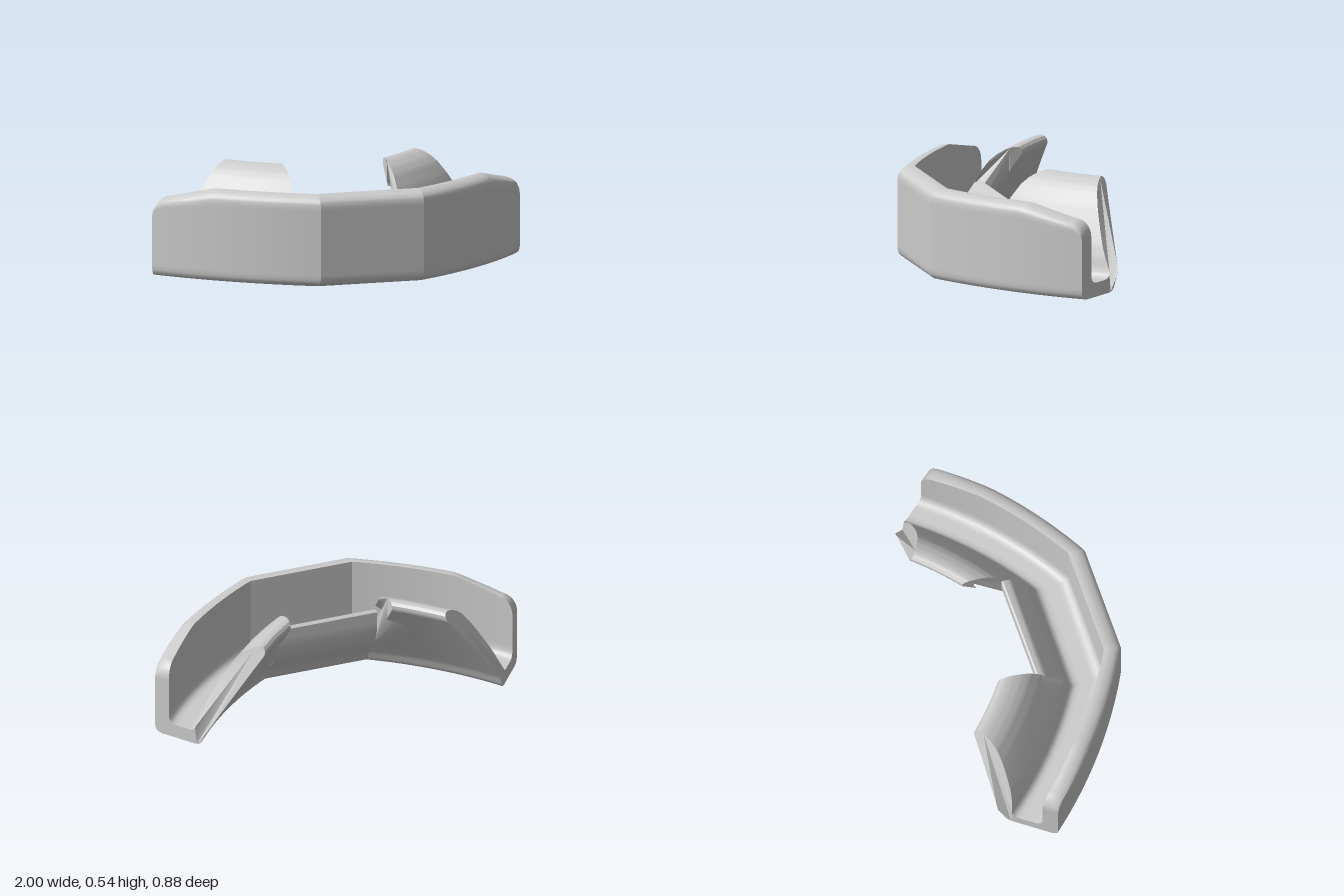
import * as THREE from 'three';
import { toCreasedNormals } from 'three/addons/utils/BufferGeometryUtils.js';

// The side channels sweep about a vertical axis at (CX, CZ); R is the outer wall radius.
const CX = -0.862, CZ = -1.674, R = 2.4, JOINT = 0.28;
const PHI = Math.atan2(18, 24);

// Section points are [distance in from the outer wall, height].
const base = [
  [0, 0.04], [0.005, 0.02], [0.018, 0.006], [0.04, 0], [0.235, 0], [0.258, 0.005],
  [0.274, 0.02], [0.284, 0.045], [0.295, 0.072], [0.312, 0.1],
];
const earTip = [
  [0.562, 0.5], [0.562, 0.522], [0.55, 0.536], [0.53, 0.54], [0.495, 0.53], [0.455, 0.507],
  [0.42, 0.475], [0.375, 0.41], [0.342, 0.35], [0.316, 0.3], [0.284, 0.235], [0.262, 0.175],
];
const midTip = [
  [0.34, 0.142], [0.364, 0.184], [0.38, 0.225], [0.388, 0.265], [0.39, 0.3], [0.39, 0.37],
  [0.382, 0.377], [0.355, 0.365], [0.316, 0.3], [0.284, 0.235], [0.262, 0.175],
];
const channelAndWall = [
  [0.247, 0.12], [0.236, 0.092], [0.22, 0.078], [0.2, 0.074], [0.12, 0.074], [0.1, 0.08],
  [0.086, 0.096], [0.081, 0.12], [0.081, 0.475], [0.066, 0.475], [0.045, 0.471],
  [0.02, 0.459], [0.005, 0.443], [0, 0.42],
];

// Split long section edges so bends and cut-outs stay smooth.
function subdivide(points, step = 0.02) {
  const out = [];
  points.forEach((p, i) => {
    const q = points[(i + 1) % points.length];
    const n = Math.max(1, Math.ceil(Math.hypot(q[0] - p[0], q[1] - p[1]) / step));
    for (let k = 0; k < n; k++) {
      out.push([p[0] + (q[0] - p[0]) * k / n, p[1] + (q[1] - p[1]) * k / n]);
    }
  });
  return out;
}

// Closed skin through rows of section points (ordered towards +x), capped at both ends.
function loft(name, section, rows) {
  const n = section.length, index = [];
  for (let r = 0; r < rows.length - 1; r++) {
    for (let i = 0; i < n; i++) {
      const a = r * n + i, b = r * n + (i + 1) % n;
      index.push(a, b, b + n, a, b + n, a + n);
    }
  }
  const last = (rows.length - 1) * n;
  const caps = THREE.ShapeUtils.triangulateShape(section.map(p => new THREE.Vector2(...p)), []);
  for (const [a, b, c] of caps) index.push(c, b, a, last + a, last + b, last + c);
  const geometry = new THREE.BufferGeometry();
  geometry.setAttribute('position', new THREE.Float32BufferAttribute(rows.flat(2), 3));
  geometry.setIndex(index);
  const mesh = new THREE.Mesh(
    toCreasedNormals(geometry, 0.6),
    new THREE.MeshStandardMaterial({ color: 0xcccccc }),
  );
  mesh.name = name;
  return mesh;
}

// Height of the outer wall along its sweep: level, sloping, then a rounded corner.
function wallTop(u) {
  if (u < 0.62) return 0.475;
  if (u < 0.91) return 0.475 - 0.06 * (u - 0.62) / 0.29;
  return 0.325 + 0.09 * Math.sqrt(Math.max(0, 1 - ((u - 0.91) / 0.09) ** 2));
}

// One point of the curved side, with u running from the centre joint to the slanted end.
function sidePoint([d, y], u) {
  const r = R - d, isEar = d > 0.24;
  const depth = Math.max(0, 0.25 + 0.625 * y - d); // distance in from the ear's back face
  let startX = JOINT;
  if (isEar) { // rounded notch beside the centre lip, wider at the back
    const k = (y - 0.29) / 0.1;
    startX += (0.13 - 0.06 * Math.min(1, depth / 0.11)) * Math.sqrt(Math.max(0, 1 - k * k));
  }
  const rise = isEar ? Math.max(0, y - 0.1) : 0;
  const start = Math.asin((startX - CX) / r);
  const end = PHI + Math.asin((17.35 - 16.8 * rise) / (30 * r)) + 0.57 * rise * depth / r;
  const angle = start + (end - start) * u;
  if (d < 0.1 && y > 0.3) y = 0.3 + (y - 0.3) * (wallTop(u) - 0.3) / 0.175;
  return [CX + r * Math.sin(angle), y, CZ + r * Math.cos(angle)];
}

export function createModel() {
  const model = new THREE.Group();
  model.name = 'curvedChannelTray';

  // Straight centre channel with a low lip cut off upright at the back
  const midSection = subdivide([...base, ...midTip, ...channelAndWall]);
  const midRows = [-JOINT, JOINT].map(x => midSection.map(([d, y]) =>
    [x, y, CZ + Math.sqrt((R - d) ** 2 - (JOINT - CX) ** 2)]));
  model.add(loft('centreChannel', midSection, midRows));

  // Curved side channels with tall leaning ears
  const sideSection = subdivide([...base, ...earTip, ...channelAndWall]);
  const steps = 36, rows = [];
  for (let i = 0; i <= steps; i++) {
    const u = 1 - (1 - i / steps) ** 1.7;
    rows.push(sideSection.map(p => sidePoint(p, u)));
  }
  model.add(loft('leftChannel', sideSection, rows));
  const mirrored = rows.map(row => row.map(([x, y, z]) => [-x, y, z])).reverse();
  model.add(loft('rightChannel', sideSection, mirrored));

  return model;
}
